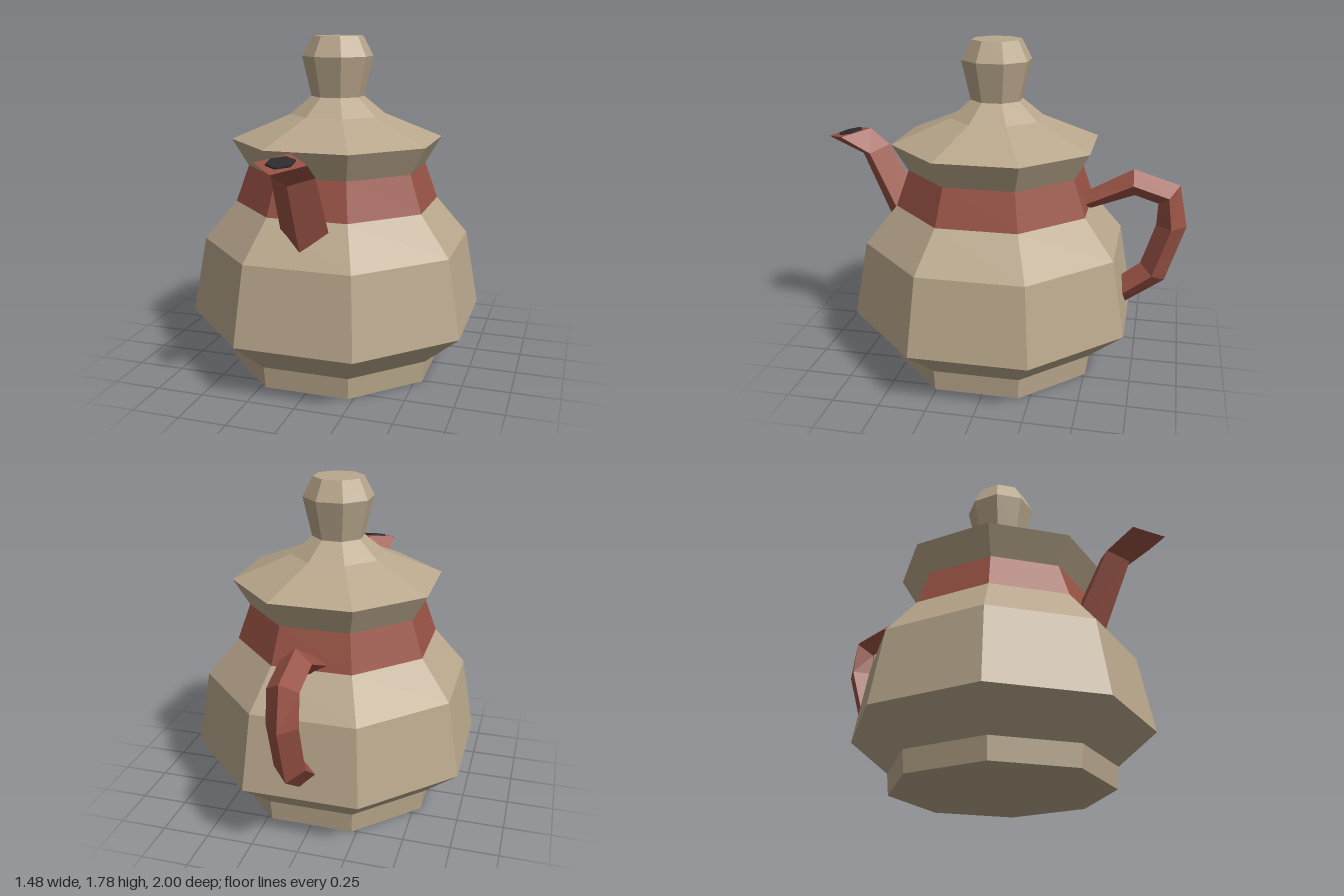
import * as THREE from 'three';

const clay = new THREE.MeshStandardMaterial({ name: 'clay', color: 0xb9a78c, flatShading: true });
const redGlaze = new THREE.MeshStandardMaterial({ name: 'redGlaze', color: 0x985244, flatShading: true });
const darkHole = new THREE.MeshStandardMaterial({ name: 'darkHole', color: 0x2c2c2c, flatShading: true });

const BODY_Z = 0.032;

// Eight-sided turned part; profile rows are [distance to flat side, height]
function turned(name, profile, material) {
  const points = profile.map(([r, y]) => new THREE.Vector2(r / Math.cos(Math.PI / 8), y));
  const geometry = new THREE.LatheGeometry(points, 8, Math.PI / 8).toNonIndexed();
  geometry.computeVertexNormals();
  const mesh = new THREE.Mesh(geometry, material);
  mesh.name = name;
  mesh.position.z = BODY_Z;
  return mesh;
}

// Diamond-section tube; each section is [outer z, outer y, inner z, inner y, half width]
function diamondTube(name, sections, material) {
  const rings = sections.map(([oz, oy, iz, iy, w]) => {
    const y = (oy + iy) / 2, z = (oz + iz) / 2;
    return [[0, oy, oz], [w, y, z], [0, iy, iz], [-w, y, z]];
  });
  const vertices = [];
  const quad = (a, b, c, d) => vertices.push(...a, ...b, ...c, ...a, ...c, ...d);
  for (let i = 0; i < rings.length - 1; i++) {
    for (let j = 0; j < 4; j++) {
      const k = (j + 1) % 4;
      quad(rings[i][j], rings[i][k], rings[i + 1][k], rings[i + 1][j]);
    }
  }
  const [a, b, c, d] = rings[0];
  quad(d, c, b, a);
  quad(...rings[rings.length - 1]);
  const geometry = new THREE.BufferGeometry();
  geometry.setAttribute('position', new THREE.Float32BufferAttribute(vertices, 3));
  geometry.computeVertexNormals();
  const mesh = new THREE.Mesh(geometry, material);
  mesh.name = name;
  return mesh;
}

export function createModel() {
  const teapot = new THREE.Group();
  teapot.name = 'teapot';

  // Foot and belly, painted band, flared collar
  teapot.add(
    turned('footAndBelly', [[0, 0], [0.54, 0], [0.55, 0.115], [0.74, 0.29], [0.67, 0.7], [0.51, 0.905]], clay),
    turned('band', [[0.51, 0.905], [0.445, 1.1]], redGlaze),
    turned('collar', [[0.445, 1.1], [0.525, 1.245]], clay),
  );

  // Lid with its knob
  teapot.add(
    turned('lid', [[0.525, 1.245], [0.235, 1.375], [0.13, 1.47]], clay),
    turned('knob', [[0.13, 1.47], [0.175, 1.68], [0.125, 1.785], [0, 1.785]], clay),
  );

  // Spout, rising from inside the belly to a tilted mouth
  teapot.add(diamondTube('spout', [
    [0.58, 0.62, 0.36, 0.68, 0.135],
    [0.8, 1.13, 0.643, 1.19, 0.112],
    [1.0, 1.22, 0.75, 1.275, 0.128],
  ], redGlaze));

  // Dark opening lying on the mouth
  const opening = new THREE.Mesh(new THREE.CylinderGeometry(0.07, 0.07, 0.009, 6), darkHole);
  opening.name = 'spoutOpening';
  opening.position.set(0, 1.252, 0.87);
  opening.rotation.x = 0.216;
  teapot.add(opening);

  // Handle, from the band round to the lower belly
  teapot.add(diamondTube('handle', [
    [-0.39, 0.947, -0.42, 0.866, 0.08],
    [-0.708, 1.123, -0.718, 0.98, 0.08],
    [-0.954, 1.048, -0.845, 0.94, 0.08],
    [-1.0, 0.82, -0.84, 0.82, 0.08],
    [-0.9, 0.505, -0.767, 0.595, 0.08],
    [-0.6, 0.29, -0.56, 0.43, 0.08],
  ], redGlaze));

  return teapot;
}
